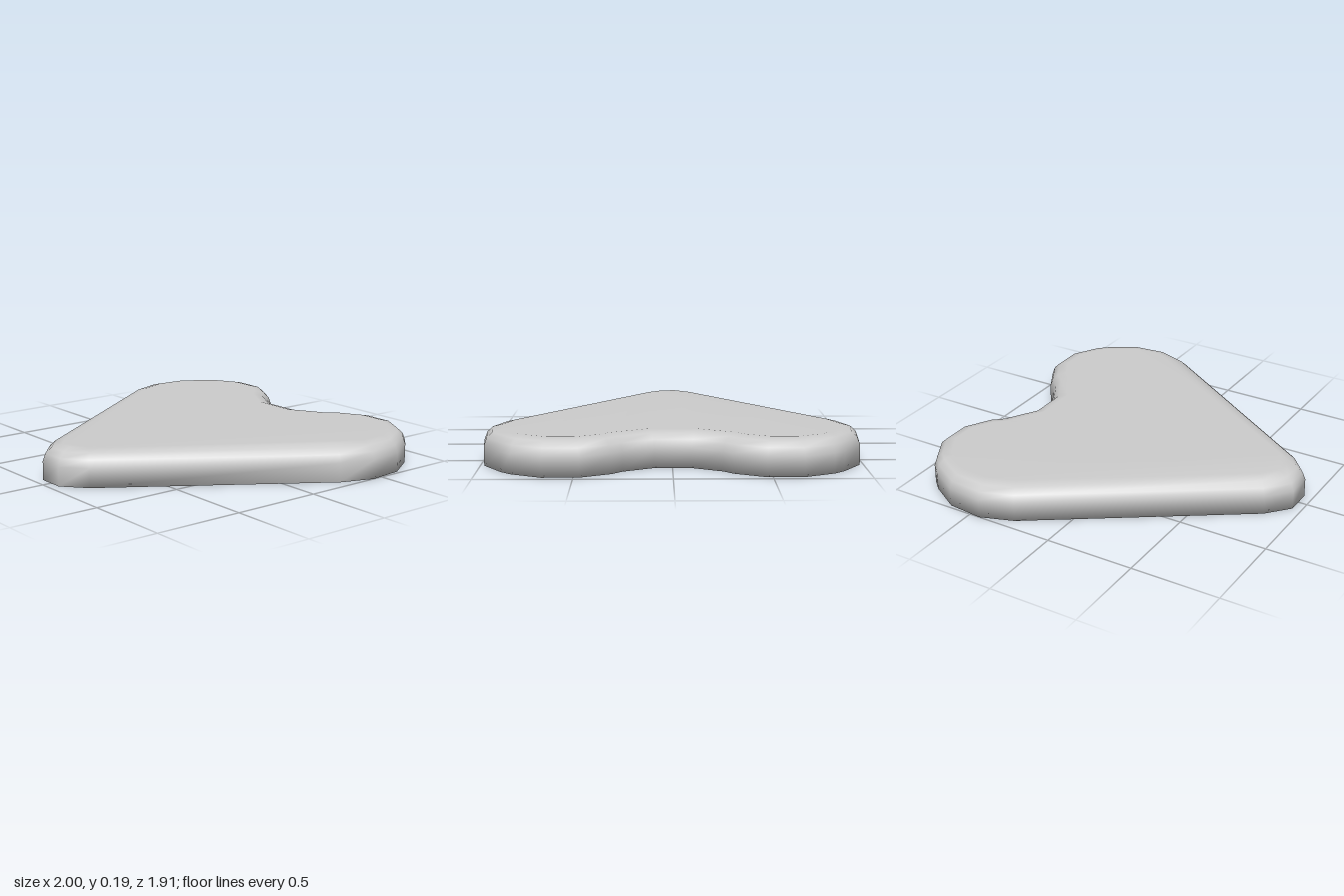
import * as THREE from 'three';

// Half of the heart outline (x, z), from the notch at the back to the tip at the front
const HALF = [
  [0.096, -0.716], [0.257, -0.81], [0.31, -0.87], [0.47, -0.96], [0.66, -0.96], [0.82, -0.87],
  [0.877, -0.81], [0.98, -0.64], [1, -0.44], [0.935, -0.257], [0.2, 0.84], [0.075, 0.95],
];
const TIP_CORNER = 10;

// Edge section: [inset, height]
const EDGE = [[0, 0], [0, 0.105], [0.015, 0.147], [0.046, 0.176], [0.1, 0.19]];

// Moves every outline corner inwards so that all edges shift by the same distance
function insetOutline(points, distance) {
  const n = points.length;
  const outward = (a, b) => new THREE.Vector2(b.y - a.y, a.x - b.x).normalize();
  return points.map((p, i) => {
    const n1 = outward(points[(i + n - 1) % n], p);
    const n2 = outward(p, points[(i + 1) % n]);
    const miter = n1.clone().add(n2).divideScalar(1 + n1.dot(n2));
    return p.clone().addScaledVector(miter, -distance);
  });
}

function heartGeometry() {
  const mirrored = HALF.map(([x, z]) => [-x, z]).reverse();
  const outline = [...HALF, ...mirrored].map(([x, z]) => new THREE.Vector2(x, z));
  const n = outline.length;
  const positions = [];
  const index = [];

  // Rings up the wall and over the rounded rim
  EDGE.forEach(([inset, y], ring) => {
    insetOutline(outline, inset).forEach((p, i) => {
      positions.push(p.x, y, p.y);
      if (ring === 0) return;
      const next = (i + 1) % n;
      const a = (ring - 1) * n + i, b = (ring - 1) * n + next;
      const c = ring * n + i, d = ring * n + next;
      index.push(a, c, b, b, c, d);
    });
  });

  // Flat base and top, fanned from a corner near the tip and sharing the rim's normals
  const top = (EDGE.length - 1) * n;
  for (let k = 1; k < n - 1; k++) {
    const i = (TIP_CORNER + k) % n, j = (TIP_CORNER + k + 1) % n;
    index.push(TIP_CORNER, i, j);
    index.push(top + TIP_CORNER, top + j, top + i);
  }

  const geometry = new THREE.BufferGeometry();
  geometry.setAttribute('position', new THREE.Float32BufferAttribute(positions, 3));
  geometry.setIndex(index);
  geometry.computeVertexNormals();
  return geometry;
}

export function createModel() {
  const group = new THREE.Group();
  group.name = 'heart';
  const body = new THREE.Mesh(heartGeometry(), new THREE.MeshStandardMaterial({ color: 0xcccccc }));
  body.name = 'heartBody';
  group.add(body);
  return group;
}
